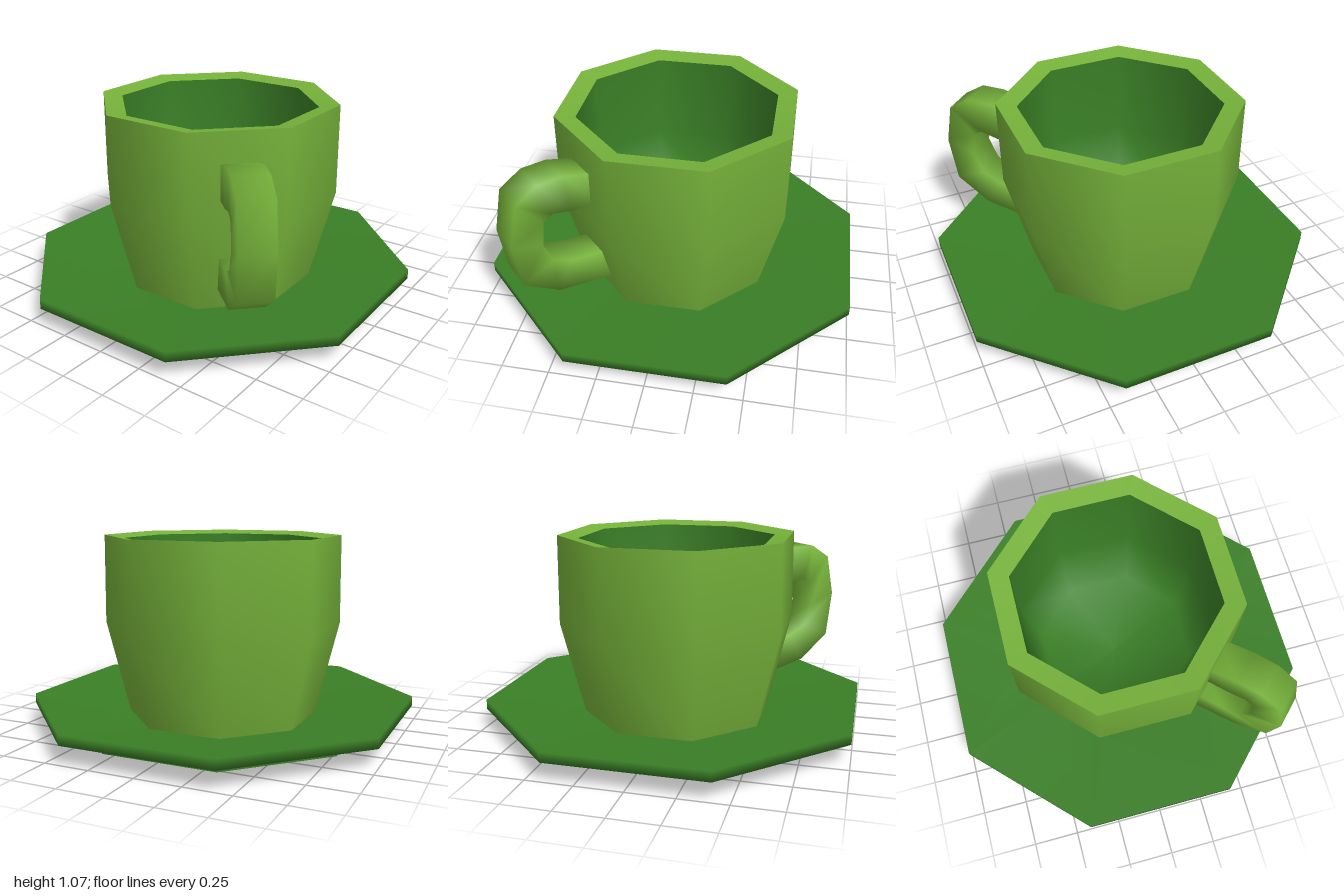
import * as THREE from 'three';

const SIDES = 8;

export function createModel() {
  const model = new THREE.Group();
  model.name = 'cupAndSaucer';

  const lightGreen = new THREE.MeshStandardMaterial({ color: 0x76b23a });
  lightGreen.name = 'lightGreen';
  const darkGreen = new THREE.MeshStandardMaterial({ color: 0x3a7f26 });
  darkGreen.name = 'darkGreen';

  // Octagonal turned surface; each profile point is [distance to flat side, y]
  function turned(name, profile, material) {
    const points = profile.map(([r, y]) => new THREE.Vector2(r / Math.cos(Math.PI / SIDES), y));
    const geometry = new THREE.LatheGeometry(points, SIDES, Math.PI / SIDES);
    const mesh = new THREE.Mesh(geometry, material);
    mesh.name = name;
    model.add(mesh);
  }

  // Saucer: flat base, upright foot, and a shallow dish
  turned('saucerBase', [[0, 0], [0.77, 0]], darkGreen);
  turned('saucerFoot', [[0.77, 0], [0.77, 0.06]], darkGreen);
  turned('saucerDish', [[0.77, 0.06], [1, 0.1], [1, 0.155], [0.5, 0.065], [0, 0.065]], darkGreen);

  // Cup: outer wall, sloping rim and dark inside
  turned('cupWall', [[0.49, 0.06], [0.61, 0.58], [0.607, 1.07]], lightGreen);
  turned('cupRim', [[0.607, 1.07], [0.505, 1.052]], lightGreen);
  turned('cupInside', [[0.505, 1.052], [0.5, 0.58], [0.42, 0.16], [0, 0.12]], darkGreen);

  // Handle: square section swept between an outer and an inner outline
  const outer = [[0.56, 0.89], [0.75, 0.945], [0.885, 0.945], [1.006, 0.87],
    [1.055, 0.64], [1.02, 0.38], [0.83, 0.245], [0.5, 0.185]];
  const inner = [[0.56, 0.715], [0.72, 0.725], [0.82, 0.75], [0.875, 0.72],
    [0.89, 0.58], [0.84, 0.46], [0.74, 0.41], [0.5, 0.375]];
  const half = 0.09;
  const positions = [];
  const index = [];
  outer.forEach(([ox, oy], i) => {
    const [ix, iy] = inner[i];
    positions.push(ox, oy, half, ox, oy, -half, ix, iy, -half, ix, iy, half);
    if (i === 0) return;
    for (let k = 0; k < 4; k++) {
      const a = (i - 1) * 4 + k;
      const b = (i - 1) * 4 + (k + 1) % 4;
      index.push(a, a + 4, b, b, a + 4, b + 4);
    }
  });
  const handleGeometry = new THREE.BufferGeometry();
  handleGeometry.setAttribute('position', new THREE.Float32BufferAttribute(positions, 3));
  handleGeometry.setIndex(index);
  handleGeometry.computeVertexNormals();
  const handle = new THREE.Mesh(handleGeometry, lightGreen);
  handle.name = 'handle';
  handle.rotation.y = -Math.PI * 0.75;
  model.add(handle);

  return model;
}
